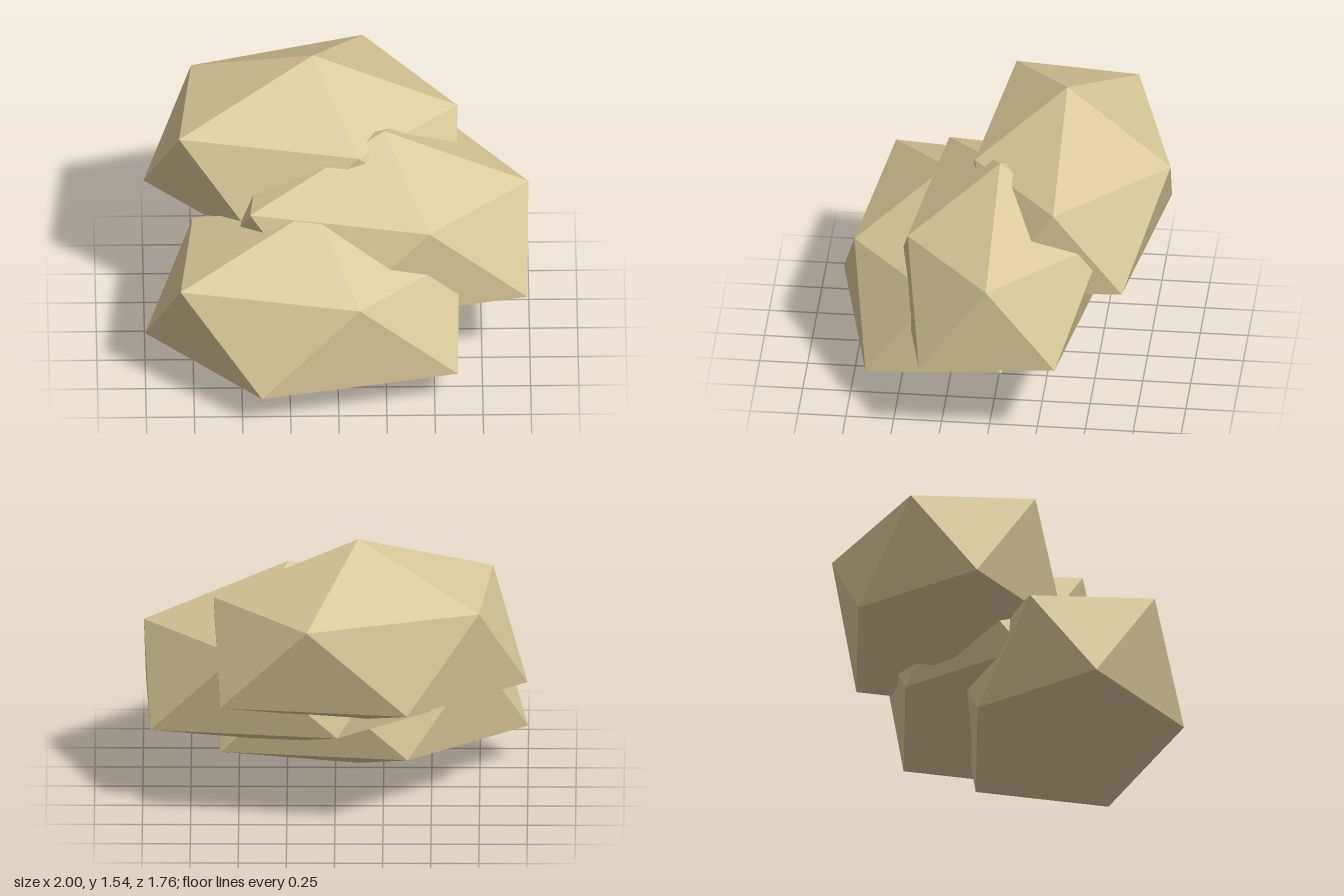
import * as THREE from 'three';

// Faceted nugget: two poles joined by two staggered rings of five corners
function nuggetGeometry() {
  const top = [-0.12, 1.02, 0.31];
  const bottom = [-0.12, 0, 0.31];
  const upper = [
    [-0.82, 0.73, 0.645], [0.11, 0.69, 0.77], [0.63, 0.69, 0.31],
    [0.145, 0.73, -0.255], [-0.75, 0.73, 0.0],
  ];
  // lower[i] sits between upper[i] and upper[i + 1]
  const lower = [
    [-0.4, 0.205, 0.875], [0.62, 0.2, 0.66], [0.595, 0.215, -0.045],
    [-0.375, 0.24, -0.21], [-1.0, 0.215, 0.305],
  ];
  const points = [];
  const face = (a, b, c) => points.push(...a, ...b, ...c);
  for (let i = 0; i < 5; i++) {
    const j = (i + 1) % 5;
    face(top, upper[i], upper[j]);
    face(upper[i], lower[i], upper[j]);
    face(lower[i], lower[j], upper[j]);
    face(bottom, lower[j], lower[i]);
  }
  const geometry = new THREE.BufferGeometry();
  geometry.setAttribute('position', new THREE.Float32BufferAttribute(points, 3));
  geometry.computeVertexNormals();
  return geometry;
}

export function createModel() {
  const group = new THREE.Group();
  group.name = 'nuggetPile';
  const material = new THREE.MeshStandardMaterial({ color: 0xd8c696, flatShading: true });
  material.name = 'paleSand';
  const geometry = nuggetGeometry();

  // Three identical nuggets stepping up towards the back
  const nuggets = [
    ['frontNugget', 0, 0, 0],
    ['middleNugget', 0.365, 0.26, -0.315],
    ['backNugget', 0, 0.52, -0.63],
  ];
  for (const [name, x, y, z] of nuggets) {
    const mesh = new THREE.Mesh(geometry, material);
    mesh.name = name;
    mesh.position.set(x, y, z);
    group.add(mesh);
  }
  return group;
}
